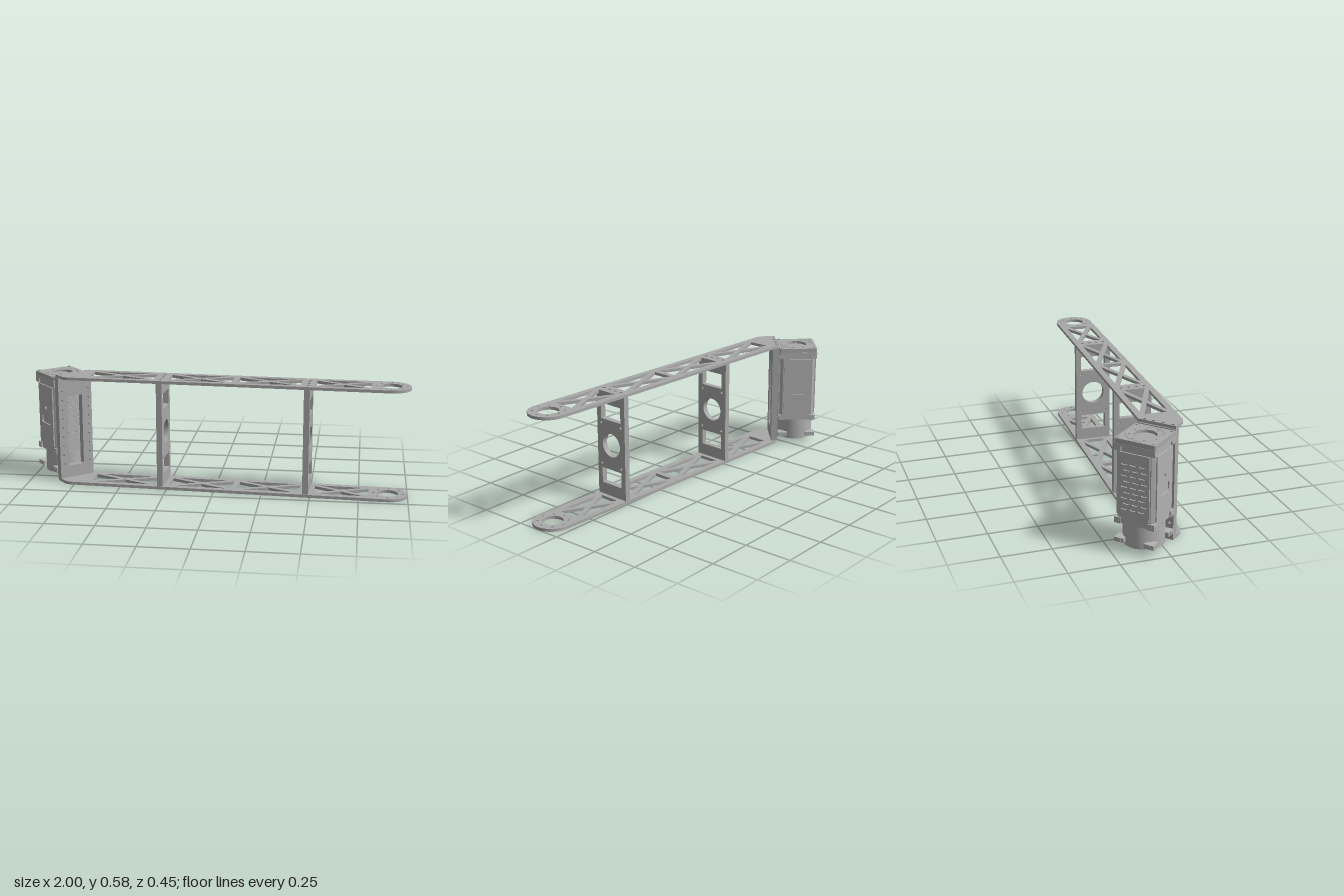
import * as THREE from 'three';
import { toCreasedNormals } from 'three/addons/utils/BufferGeometryUtils.js';

const frameGrey = new THREE.MeshStandardMaterial({ color: 0xa9a9a9 });
frameGrey.name = 'frame grey';
const motorGrey = new THREE.MeshStandardMaterial({ color: 0xb2b2b2 });
motorGrey.name = 'motor grey';

const TILT = 0.054;      // slight yaw of the whole arm
const TOP = 0.582;       // overall height
const PLATE = 0.015;     // side plate thickness

function add(parent, name, geometry, material, x = 0, y = 0, z = 0) {
  const mesh = new THREE.Mesh(toCreasedNormals(geometry, 0.5), material);
  mesh.name = name;
  mesh.position.set(x, y, z);
  parent.add(mesh);
  return mesh;
}

// Outline and hole helpers
const poly = (pts, Type = THREE.Path) => new Type(pts.map(([x, y]) => new THREE.Vector2(x, y)));
const rect = (x, y, w, h, Type) => poly([[x - w / 2, y - h / 2], [x + w / 2, y - h / 2], [x + w / 2, y + h / 2], [x - w / 2, y + h / 2]], Type);
const circle = (x, y, r) => new THREE.Path().absarc(x, y, r, 0, Math.PI * 2, true);
function slot(x, y, w, h, r = h / 2) {
  const a = w / 2 - r, b = h / 2 - r, p = new THREE.Path();
  p.absarc(x + a, y + b, r, 0, Math.PI / 2);
  p.absarc(x - a, y + b, r, Math.PI / 2, Math.PI);
  p.absarc(x - a, y - b, r, Math.PI, Math.PI * 1.5);
  p.absarc(x + a, y - b, r, Math.PI * 1.5, Math.PI * 2);
  return p;
}
const extrude = (shape, depth, segments = 10) =>
  new THREE.ExtrudeGeometry(shape, { depth, bevelEnabled: false, curveSegments: segments });
// Extrude upward from a plan drawn as (x, -z)
const slab = (shape, depth, segments) => extrude(shape, depth, segments).rotateX(-Math.PI / 2);

// Square with chamfered corners
function chamferedSquare(h, c) {
  return poly([[h, -h + c], [h, h - c], [h - c, h], [-h + c, h], [-h, h - c], [-h, -h + c], [-h + c, -h], [h - c, -h]], THREE.Shape);
}

// Long side plate with crossed lattice openings
function sidePlateGeometry() {
  const s = new THREE.Shape();
  s.moveTo(-1.607, 0.1);
  s.lineTo(-1.748, -0.037);
  s.lineTo(-1.71, -0.076);
  s.quadraticCurveTo(-1.688, -0.1, -1.655, -0.1);
  s.lineTo(0, -0.1);
  s.absarc(0, 0, 0.1, -Math.PI / 2, Math.PI / 2);
  s.lineTo(-1.607, 0.1);

  const h = 0.068, d = 0.013;
  for (const [a, b] of [[-1.56, -1.215], [-1.14, -0.81], [-0.78, -0.455], [-0.38, -0.1]]) {
    const m = (a + b) / 2, k = 2 * h / (b - a), run = (h - d) / k;
    for (const e of [1, -1]) {
      s.holes.push(poly([[m, e * d], [m + run, e * h], [m - run, e * h]]));
      const end = m + e * (b - a) / 2;
      s.holes.push(poly([[m + e * d / k, 0], [end, h - d], [end, d - h]]));
    }
  }
  // Bearing opening, its bolt circle and the crosspiece bolts
  s.holes.push(circle(0, 0, 0.053));
  for (let i = 0; i < 8; i++) s.holes.push(circle(0.076 * Math.cos(i * Math.PI / 4), 0.076 * Math.sin(i * Math.PI / 4), 0.006));
  for (const u of [-1.18, -0.418])
    for (const v of [-0.06, -0.02, 0.02, 0.06]) s.holes.push(circle(u, v, 0.009));
  // Bolts along the motor bracket
  for (const t of [-0.075, -0.025, 0.025, 0.07])
    s.holes.push(circle(-1.759 + (t + 0.126) * 0.707, 0.113 - (0.126 - t) * 0.707, 0.009));
  return slab(s, PLATE, 16);
}

// Crosspiece with two windows and a round opening
function crosspieceGeometry() {
  const s = rect(0, TOP / 2, 0.195, TOP - 2 * PLATE, THREE.Shape);
  s.holes.push(circle(0, 0.292, 0.062));
  for (const y of [0.119, 0.465]) s.holes.push(rect(0, y, 0.138, 0.082));
  for (const y of [0.183, 0.402]) for (const x of [-0.069, 0.069]) s.holes.push(circle(x, y, 0.006));
  return extrude(s, 0.03, 20).translate(0, 0, -0.015).rotateY(Math.PI / 2);
}

// Bracket wall beside the motor
function bracketGeometry() {
  const s = rect(-0.002, TOP / 2, 0.196, TOP - 2 * PLATE, THREE.Shape);
  s.holes.push(slot(-0.005, 0.27, 0.088, 0.38, 0.008));
  for (let i = 0; i < 9; i++) for (const x of [-0.08, 0.075]) s.holes.push(circle(x, 0.09 + i * 0.05, 0.006));
  return extrude(s, 0.035);
}

// Thin cover for a motor side, with vents or an access recess
function coverGeometry(vented) {
  const s = rect(0, 0.338, 0.155, 0.325, THREE.Shape);
  if (vented) {
    for (let r = 0; r < 9; r++)
      for (let c = 0; c < 3; c++) s.holes.push(slot((c - 1) * 0.045 + (r % 2 ? 0.006 : -0.006), 0.22 + r * 0.028, 0.032, 0.007));
  } else {
    s.holes.push(slot(0, 0.314, 0.093, 0.048, 0.01));
    s.holes.push(circle(0, 0.38, 0.011));
  }
  return extrude(s, 0.007, 5);
}

function createMotor() {
  const motor = new THREE.Group();
  motor.name = 'motor';

  add(motor, 'motorBody', slab(chamferedSquare(0.097, 0.014), 0.387), motorGrey, 0, 0.14, 0);
  for (let i = 0; i < 4; i++) {
    const side = new THREE.Group();
    side.name = 'motorSide';
    side.rotation.y = i * Math.PI / 2;
    motor.add(side);
    add(side, 'sideCover', coverGeometry(i % 2 === 0), motorGrey, 0, 0, 0.097);
    // Corner lugs and screws
    for (const [y, h] of [[0.054, 0.022], [0.155, 0.03], [0.516, 0.022]])
      add(side, 'cornerLug', new THREE.BoxGeometry(0.034, h, 0.034), motorGrey, 0.087, y, 0.087);
    add(side, 'flangeCorner', new THREE.BoxGeometry(0.05, 0.022, 0.05), motorGrey, 0.078, 0.054, 0.078);
    for (const y of [0.054, 0.152]) for (const x of [-0.082, 0.082])
      add(side, 'lugScrew', new THREE.CylinderGeometry(0.006, 0.006, 0.004, 10).rotateX(Math.PI / 2), motorGrey, x, y, 0.104);
    add(side, 'capScrew', new THREE.CylinderGeometry(0.007, 0.007, 0.006, 10), frameGrey, 0.09, 0.564, 0.09);
  }

  // Top cap with a round opening and bolt circle
  add(motor, 'capGasket', slab(chamferedSquare(0.106, 0.004), 0.013), motorGrey, 0, 0.527, 0);
  const cap = chamferedSquare(0.105, 0.005);
  cap.holes.push(circle(0, 0, 0.056));
  for (let i = 0; i < 8; i++) {
    const a = (i + 0.5) * Math.PI / 4;
    cap.holes.push(circle(0.075 * Math.cos(a), 0.075 * Math.sin(a), 0.005));
  }
  add(motor, 'topCap', slab(cap, 0.023, 20), frameGrey, 0, 0.54, 0);
  add(motor, 'capRing', new THREE.TorusGeometry(0.09, 0.002, 6, 48).rotateX(Math.PI / 2), frameGrey, 0, 0.563, 0);
  add(motor, 'topHub', new THREE.CylinderGeometry(0.05, 0.05, 0.012, 40), frameGrey, 0, 0.546, 0);

  // Round gearbox with a stepped output face
  const profile = [[0, 0.022], [0.035, 0.022], [0.035, 0.028], [0.05, 0.028], [0.05, 0.018], [0.08, 0.018], [0.08, 0.027], [0.1, 0.027], [0.1, 0.141]];
  add(motor, 'gearbox', new THREE.LatheGeometry(profile.map(([x, y]) => new THREE.Vector2(x, y)), 48), motorGrey);

  add(motor, 'motorBracket', bracketGeometry(), frameGrey, 0, 0, 0.108);
  return motor;
}

export function createModel() {
  const model = new THREE.Group();
  model.name = 'armLink';
  const arm = new THREE.Group();
  arm.name = 'arm';
  arm.position.set(0.9, 0, 0.127);
  arm.rotation.y = -TILT;
  model.add(arm);

  const plate = sidePlateGeometry();
  add(arm, 'lowerPlate', plate, frameGrey);
  add(arm, 'upperPlate', plate, frameGrey, 0, TOP - PLATE, 0);
  for (const u of [-1.18, -0.418]) add(arm, 'crosspiece', crosspieceGeometry(), frameGrey, u, 0, 0);

  const motor = createMotor();
  motor.position.set(-1.759, 0, -0.113);
  motor.rotation.y = Math.PI / 4;
  arm.add(motor);
  return model;
}
